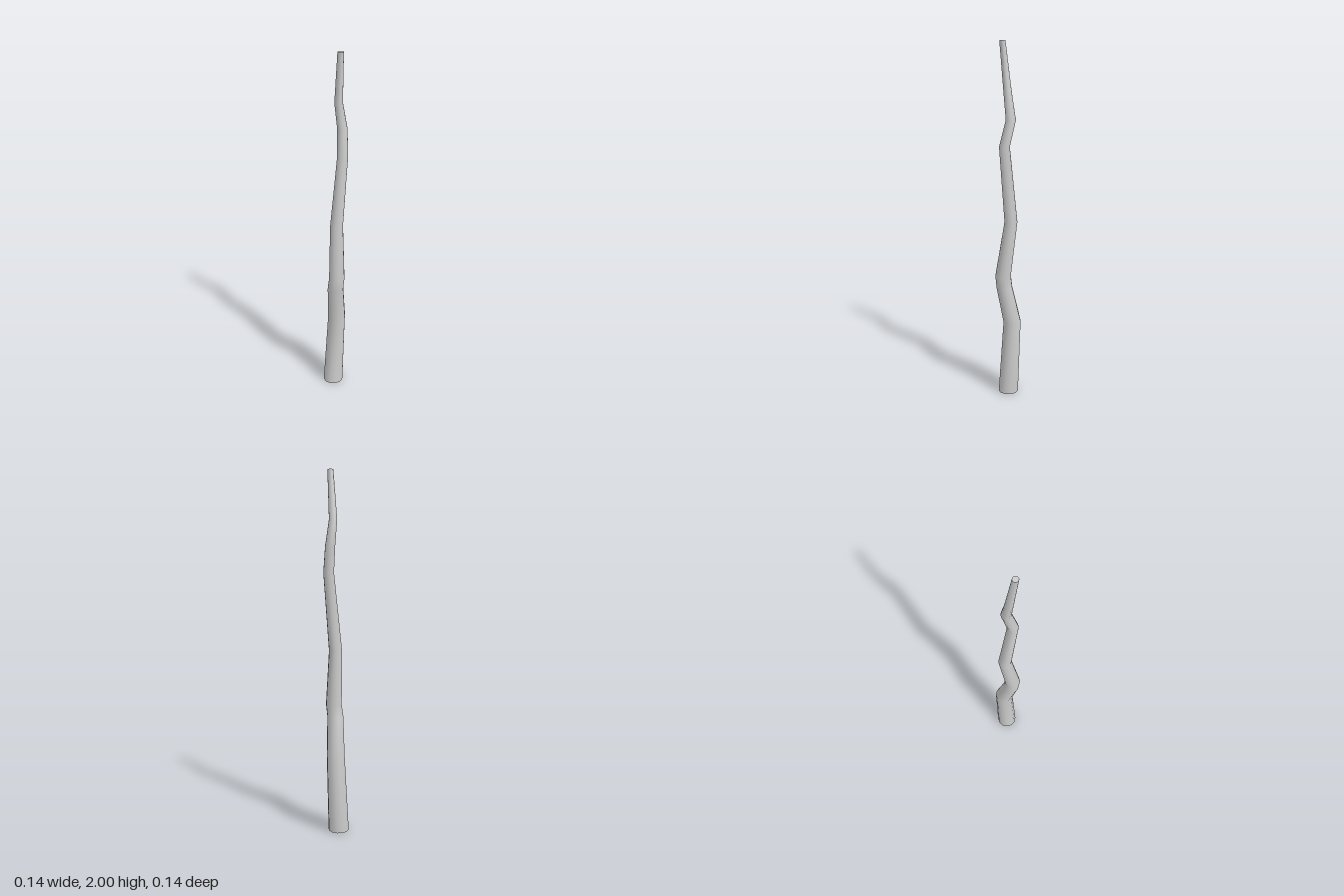
import * as THREE from 'three';
import { toCreasedNormals } from 'three/addons/utils/BufferGeometryUtils.js';

// Rings of the crooked stem from foot to tip: [x, y, z, radius]
const RINGS = [
  [-0.011, 0.00, -0.013, 0.058],
  [0.018, 0.45, -0.014, 0.050],
  [-0.016, 0.66, 0.014, 0.045],
  [-0.015, 0.73, 0.024, 0.044],
  [0.013, 1.04, -0.009, 0.036],
  [0.012, 1.46, 0.038, 0.029],
  [0.033, 1.60, 0.012, 0.027],
  [0.008, 1.74, 0.011, 0.022],
  [-0.003, 2.00, 0.037, 0.016],
];
const SIDES = 12;

export function createModel() {
  const group = new THREE.Group();
  group.name = 'crookedStick';

  // Unit-radius capped cylinder with one row of vertices per ring
  const last = RINGS.length - 1;
  const geometry = new THREE.CylinderGeometry(1, 1, last, SIDES, last);
  const position = geometry.attributes.position;

  // Move each row onto its ring
  for (let i = 0; i < position.count; i++) {
    const [x, y, z, r] = RINGS[Math.round(position.getY(i) + last / 2)];
    position.setXYZ(i, x + r * position.getX(i), y, z + r * position.getZ(i));
  }

  // Smooth round the bark, sharp at the cut ends
  const stem = new THREE.Mesh(
    toCreasedNormals(geometry, 1),
    new THREE.MeshStandardMaterial({ color: 0xcccccc })
  );
  stem.name = 'stem';
  group.add(stem);
  return group;
}
